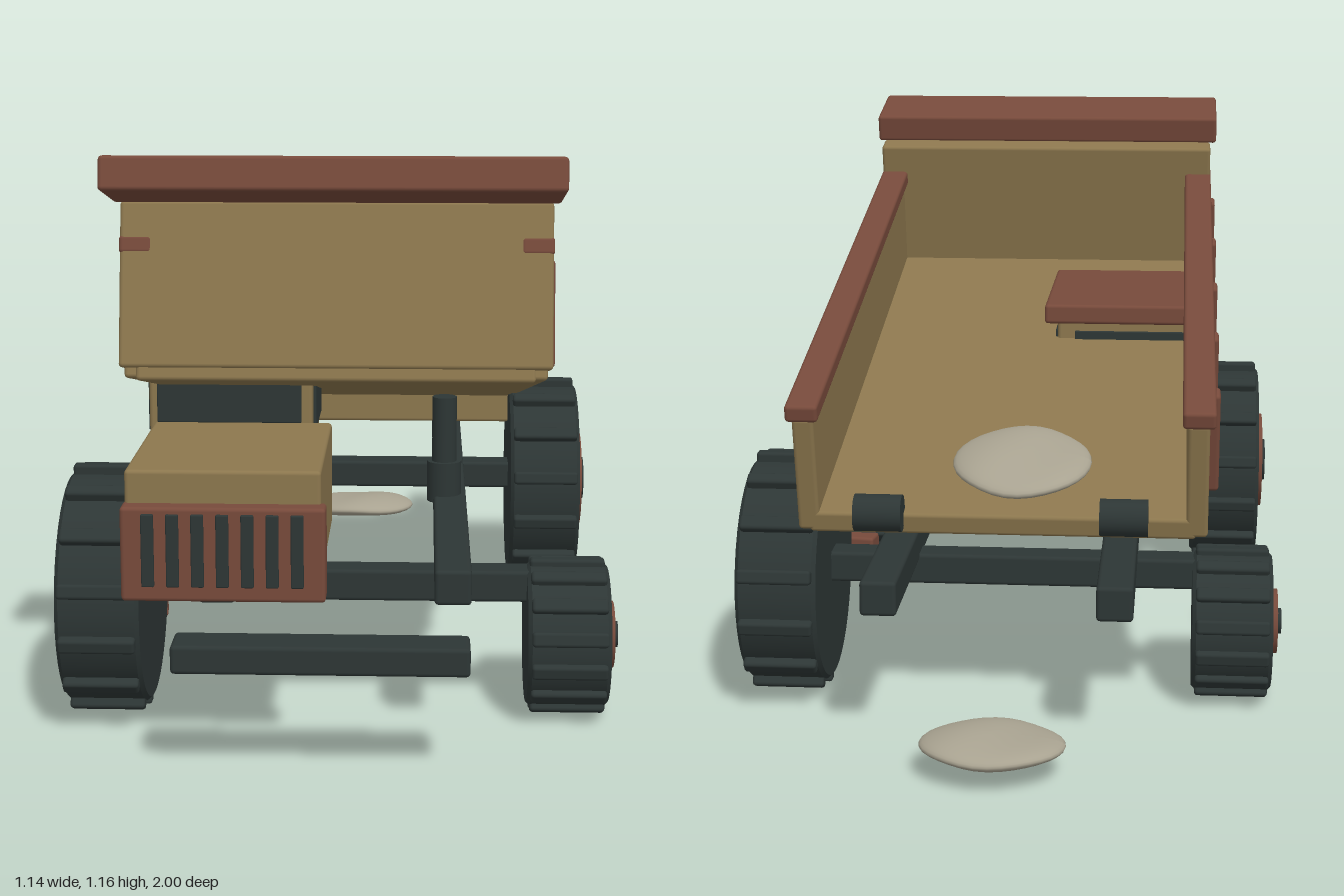
import * as THREE from 'three';
import { RoundedBoxGeometry } from 'three/addons/geometries/RoundedBoxGeometry.js';

const paint = (name, color) => {
  const m = new THREE.MeshStandardMaterial({ color });
  m.name = name;
  return m;
};

export function createModel() {
  const tan = paint('tan body', 0x8c774e);
  const rust = paint('rust brown', 0x774a3b);
  const dark = paint('dark iron', 0x2d3635);
  const stone = paint('pale stone', 0xa8a290);

  const model = new THREE.Group();
  model.name = 'dumpTruck';

  const add = (parent, name, geometry, material) => {
    const mesh = new THREE.Mesh(geometry, material);
    mesh.name = name;
    parent.add(mesh);
    return mesh;
  };
  // Softly bevelled box given by its extents on each axis
  const box = (parent, name, material, [x0, x1], [y0, y1], [z0, z1]) => {
    const w = x1 - x0, h = y1 - y0, d = z1 - z0;
    const r = Math.min(0.008, Math.min(w, h, d) * 0.3);
    const mesh = add(parent, name, new RoundedBoxGeometry(w, h, d, 2, r), material);
    mesh.position.set((x0 + x1) / 2, (y0 + y1) / 2, (z0 + z1) / 2);
    return mesh;
  };
  // Cylinder lying along x
  const disc = (parent, name, material, r, length, x) => {
    const geometry = new THREE.CylinderGeometry(r, r, length, 32).rotateZ(Math.PI / 2);
    const mesh = add(parent, name, geometry, material);
    mesh.position.x = x;
    return mesh;
  };

  // Chassis: rails, axles, rams
  for (const s of [-1, 1]) {
    box(model, 'chassisRail', dark, [s * 0.23 - 0.036, s * 0.23 + 0.036], [0.285, 0.355], [-0.812, 0.78]);
    const ram = add(model, 'hydraulicRam', new THREE.CylinderGeometry(0.027, 0.027, 0.2, 20), dark);
    ram.position.set(s * 0.217, 0.475, 0.155);
    const collar = add(model, 'ramCollar', new THREE.CylinderGeometry(0.038, 0.038, 0.09, 20), dark);
    collar.position.set(s * 0.217, 0.385, 0.155);
  }
  for (const z of [0.555, -0.42]) {
    box(model, 'axle', dark, [-0.4, 0.4], [0.235, 0.3], [z - 0.035, z + 0.035]);
  }
  box(model, 'frontBumper', dark, [-0.295, 0.26], [0.215, 0.27], [0.91, 1]);

  // Wheels: large and small ones placed diagonally
  const wheel = (side, z, outer, core, plate, cap, lugs) => {
    const g = new THREE.Group();
    g.name = outer > 0.2 ? 'largeWheel' : 'smallWheel';
    g.position.set(side * 0.465, outer, z);
    model.add(g);
    const c = 0.008;
    const profile = [[0, -0.083], [core - c, -0.083], [core, -0.075], [core, 0.075], [core - c, 0.083], [0, 0.083]]
      .map(([r, x]) => new THREE.Vector2(r, x));
    // Separate lathe segments keep the tyre edges crisp
    for (let i = 0; i < profile.length - 1; i++) {
      add(g, 'tyre', new THREE.LatheGeometry([profile[i], profile[i + 1]], 40).rotateZ(Math.PI / 2), dark);
    }
    for (let i = 0; i < lugs; i++) {
      const a = (i / lugs) * Math.PI * 2;
      const lug = add(g, 'treadLug', new RoundedBoxGeometry(0.152, 0.034, 0.03, 2, 0.007), dark);
      lug.position.set(0, Math.cos(a) * (outer - 0.017), Math.sin(a) * (outer - 0.017));
      lug.rotation.x = a;
    }
    disc(g, 'hubPlate', rust, plate, 0.04, side * 0.076);
    disc(g, 'hubCap', dark, cap, 0.05, side * 0.08);
  };
  for (const [side, z] of [[-1, 0.555], [1, -0.42]]) {
    wheel(side, z, 0.255, 0.236, 0.118, 0.052, 14);
    wheel(-side, z, 0.16, 0.147, 0.068, 0.027, 14);
  }

  // Bonnet and grille
  box(model, 'bonnet', tan, [-0.39, -0.02], [0.36, 0.575], [0.44, 0.885]);
  box(model, 'grille', rust, [-0.395, -0.01], [0.33, 0.512], [0.867, 0.92]);
  for (let i = 0; i < 7; i++) {
    const x = -0.343 + i * 0.0467;
    box(model, 'grilleSlot', dark, [x - 0.012, x + 0.012], [0.36, 0.5], [0.918, 0.927]);
  }

  // Cab with windows and roof
  box(model, 'cab', tan, [-0.4, -0.06], [0.41, 0.7], [0.18, 0.447]);
  box(model, 'cabFloor', dark, [-0.4, -0.04], [0.375, 0.42], [0.1, 0.445]);
  box(model, 'windscreen', dark, [-0.383, -0.083], [0.575, 0.675], [0.445, 0.453]);
  box(model, 'rearWindow', dark, [-0.36, -0.1], [0.55, 0.66], [0.175, 0.183]);
  for (const x of [-0.402, -0.058]) {
    box(model, 'sideWindow', dark, [x - 0.004, x + 0.004], [0.55, 0.66], [0.19, 0.41]);
  }
  box(model, 'cabRoof', rust, [-0.418, -0.035], [0.695, 0.74], [0.08, 0.58]);
  const exhaust = add(model, 'exhaustPipe', new THREE.CylinderGeometry(0.018, 0.018, 0.14, 16), dark);
  exhaust.position.set(-0.4, 0.505, 0.072);

  // Tipped load bed, pivoting at its lower rear edge
  const bed = new THREE.Group();
  bed.name = 'loadBed';
  bed.position.set(0, 0.41, -0.67);
  bed.rotation.x = -0.215;
  model.add(bed);
  box(bed, 'bedFloor', tan, [-0.385, 0.385], [0, 0.045], [0, 1.445]);
  box(bed, 'bedFront', tan, [-0.418, 0.418], [0.025, 0.348], [1.388, 1.45]);
  box(bed, 'bedHeader', rust, [-0.433, 0.433], [0.344, 0.41], [1.445, 1.635]);
  for (const s of [-1, 1]) {
    const span = (a, b) => (s > 0 ? [a, b] : [-b, -a]);
    box(bed, 'bedSide', tan, span(0.365, 0.408), [0.005, 0.25], [0, 1.44]);
    box(bed, 'sideRail', rust, span(0.355, 0.42), [0.245, 0.281], [-0.006, 1.451]);
    for (let i = 0; i < 5; i++) {
      const z = 0.163 + i * 0.28;
      box(bed, 'sideRib', rust, span(0.4, 0.43), [0.035, 0.25], [z - 0.023, z + 0.023]);
    }
    const hinge = disc(model, 'tailHinge', dark, 0.037, 0.095, s * 0.243);
    hinge.position.y = 0.46;
    hinge.position.z = -0.692;
  }
  box(model, 'bedCrossBeam', tan, [-0.385, 0.385], [0.39, 0.475], [-0.53, -0.45]);

  // Flat stones: gently rippled, squashed spheres
  const rock = (x, y, z, rx, ry, rz, tilt) => {
    const geometry = new THREE.SphereGeometry(1, 32, 20);
    const p = geometry.attributes.position;
    for (let i = 0; i < p.count; i++) {
      const px = p.getX(i), pz = p.getZ(i);
      p.setY(i, p.getY(i) * 0.9 + 0.15 * Math.sin(px * 3 + pz * 2) * Math.max(0, 1 - px * px));
    }
    geometry.scale(rx, ry, rz);
    geometry.computeVertexNormals();
    const mesh = add(model, 'flatStone', geometry, stone);
    mesh.position.set(x, y, z);
    mesh.rotation.x = tilt;
  };
  rock(0, 0.062, -0.892, 0.142, 0.029, 0.108, 0);
  rock(-0.03, 0.525, -0.52, 0.142, 0.032, 0.145, -0.215);

  // Loose blocks lying beside the truck
  for (const [x, z, turn] of [[-0.478, 0.008, 0.12], [0.47, 0.41, -0.15]]) {
    const block = box(model, 'looseBlock', rust, [-0.053, 0.053], [0.02, 0.075], [-0.03, 0.03]);
    block.position.x = x;
    block.position.z = z;
    block.rotation.y = turn;
  }

  return model;
}
